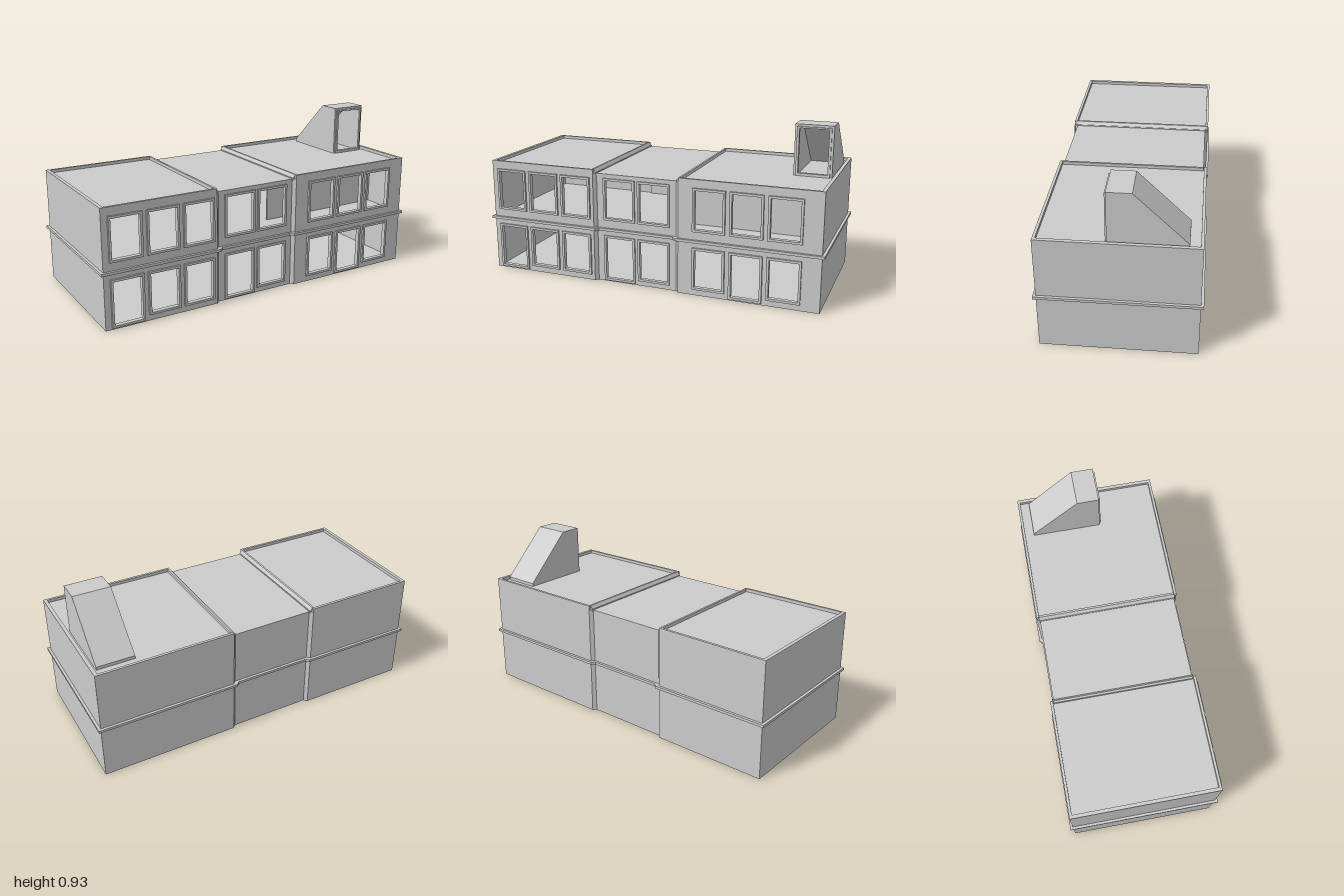
import * as THREE from 'three';

const FLOOR = 0.308, BELT_TOP = 0.323, LOW = 0.64, HIGH = 0.663, WALL = 0.015;
const WING_Z = 0.418, MID_Z = 0.4, MID_L = -0.308, MID_R = 0.173, CHAMFER = 0.017, END = 0.985;

const material = new THREE.MeshStandardMaterial({ color: 0xcccccc, flatShading: true, side: THREE.DoubleSide });

function add(group, name, geometry) {
  const mesh = new THREE.Mesh(geometry, material);
  mesh.name = name;
  group.add(mesh);
  return mesh;
}

// Box from its extents; x limits may come in either order
function box(group, name, xa, xb, y0, y1, z0, z1) {
  const g = new THREE.BoxGeometry(Math.abs(xb - xa), y1 - y0, z1 - z0);
  return add(group, name, g.translate((xa + xb) / 2, (y0 + y1) / 2, (z0 + z1) / 2));
}

const polygon = pts => new THREE.Shape(pts.map(p => new THREE.Vector2(...p)));
const rect = (x0, x1, y0, y1) => [[x0, y0], [x1, y0], [x1, y1], [x0, y1]];
const extrude = (shape, depth) => new THREE.ExtrudeGeometry(shape, { depth, bevelEnabled: false });

// Upright panel in x/y with rectangular openings
function panel(group, name, outline, holes, z0, z1) {
  const shape = polygon(outline);
  for (const h of holes) shape.holes.push(polygon(rect(...h)));
  return add(group, name, extrude(shape, z1 - z0).translate(0, 0, z0));
}

// Floor plan [x, z] raised from y0 to y1
function planSlab(group, name, pts, y0, y1) {
  return add(group, name, extrude(polygon(pts), y1 - y0).rotateX(Math.PI / 2).translate(0, y1, 0));
}

// Side profile [z, y] swept from x0 to x1
function sideSlab(group, name, pts, x0, x1) {
  return add(group, name, extrude(polygon(pts), x1 - x0).rotateY(-Math.PI / 2).translate(x1, 0, 0));
}

// Whole-building outline with mitred steps, grown outwards by o
function footprint(o) {
  const e = END + o, w = WING_Z + o, m = MID_Z + o;
  const l = MID_L + o, r = MID_R - o;
  const front = [[-e, w], [l - CHAMFER, w], [l, m], [r, m], [r + CHAMFER, w], [e, w]];
  return [...front, ...front.map(([x, z]) => [x, -z]).reverse()];
}

// Openings [x0, x1, y0, y1] on both storeys from left edges and ground sills
function openings(lefts, sills, width) {
  return lefts.flatMap((x, i) => [
    [x, x + width, sills[i], 0.265],
    [x, x + width, 0.383, 0.603]
  ]);
}

function windowFrames(group, holes, wallZ, lip) {
  const w = 0.013;
  for (const [x0, x1, y0, y1] of holes)
    panel(group, 'windowFrame', rect(x0 - w, x1 + w, y0 - w, y1 + w), [[x0, x1, y0, y1]], wallZ - WALL, wallZ + lip);
}

// End block: s is the side, inner the x of the mitred edge
function wing(s, name, inner, holes) {
  const g = new THREE.Group();
  g.name = name;
  const out = s * END, step = inner - s * CHAMFER, zi = WING_Z - WALL;
  const outline = rect(Math.min(out, inner), Math.max(out, inner), 0, HIGH);
  panel(g, 'frontWall', outline, holes, zi, WING_Z);
  panel(g, 'backWall', outline, [], -WING_Z, -zi);
  box(g, 'endWall', out, out - s * 0.02, 0, HIGH, -WING_Z, WING_Z);
  box(g, 'roof', out, step, 0.628, 0.645, -zi, zi);
  // Mitred corners beside the middle block
  for (const f of [1, -1])
    planSlab(g, 'corner', [[inner, f * WING_Z], [step, f * MID_Z], [inner, f * MID_Z]], 0, LOW);
  // Sloped inner parapet
  const rim = [[step, LOW], [inner, HIGH], [inner + s * 0.012, HIGH], [inner + s * 0.012, LOW - 0.01], [step, LOW - 0.01]];
  panel(g, 'innerParapet', rim, [], -MID_Z, MID_Z);
  for (const f of [1, -1])
    panel(g, 'innerParapetEnd', [[step, LOW], [inner, HIGH], [inner, LOW]], [], f > 0 ? MID_Z : -MID_Z - 0.004, f > 0 ? MID_Z + 0.004 : -MID_Z);
  windowFrames(g, holes, WING_Z, 0.011);
  return g;
}

function middleBlock() {
  const g = new THREE.Group();
  g.name = 'middleBlock';
  const holes = openings([-0.255, -0.045], [0.02, 0.042], 0.167);
  const outline = rect(MID_L, MID_R, 0, LOW);
  panel(g, 'frontWall', outline, holes, MID_Z - WALL, MID_Z);
  panel(g, 'backWall', outline, [], -MID_Z, -MID_Z + WALL);
  box(g, 'roof', MID_L, MID_R, LOW - 0.015, LOW, -MID_Z + WALL, MID_Z - WALL);
  windowFrames(g, holes, MID_Z, 0.008);
  return g;
}

// Hollow roof access with a sloping back and an open doorway
function stairHouse() {
  const g = new THREE.Group();
  g.name = 'stairHouse';
  const x0 = 0.738, x1 = 0.952, t = 0.02, base = 0.645, top = 0.933;
  const side = [[0.055, base], [0.055, top], [-0.073, top], [-0.35, HIGH], [-0.35, base]];
  sideSlab(g, 'sideWall', side, x0, x0 + t);
  sideSlab(g, 'sideWall', side, x1 - t, x1);
  const cover = [[0.055, top], [-0.073, top], [-0.35, HIGH], [-0.35, base], [-0.34, base], [-0.067, top - 0.015], [0.055, top - 0.015]];
  sideSlab(g, 'slopedCover', cover, x0 + t, x1 - t);
  panel(g, 'doorFrame', rect(x0 + 0.012, x1 - 0.012, base, 0.921), [[0.763, 0.927, base + 0.015, 0.912]], 0.04, 0.063);
  return g;
}

export function createModel() {
  const model = new THREE.Group();
  model.name = 'building';

  // Ground slab, and the upper floor that projects as a belt course
  planSlab(model, 'groundFloor', footprint(-0.002), 0, 0.008);
  planSlab(model, 'beltCourse', footprint(0.015), FLOOR, BELT_TOP);

  const leftX = [-0.937, -0.727, -0.517], rightX = [0.288, 0.498, 0.708];
  model.add(wing(-1, 'rightWing', MID_L - CHAMFER, openings(leftX, [0.023, 0.048, 0.048], 0.16)));
  model.add(wing(1, 'leftWing', MID_R + CHAMFER, openings(rightX, [0.048, 0.023, 0.048], 0.16)));
  model.add(middleBlock());

  // Upper storey partition behind the rooms
  box(model, 'partition', MID_R, END - 0.02, BELT_TOP, 0.63, 0.14, 0.15);

  model.add(stairHouse());
  return model;
}
